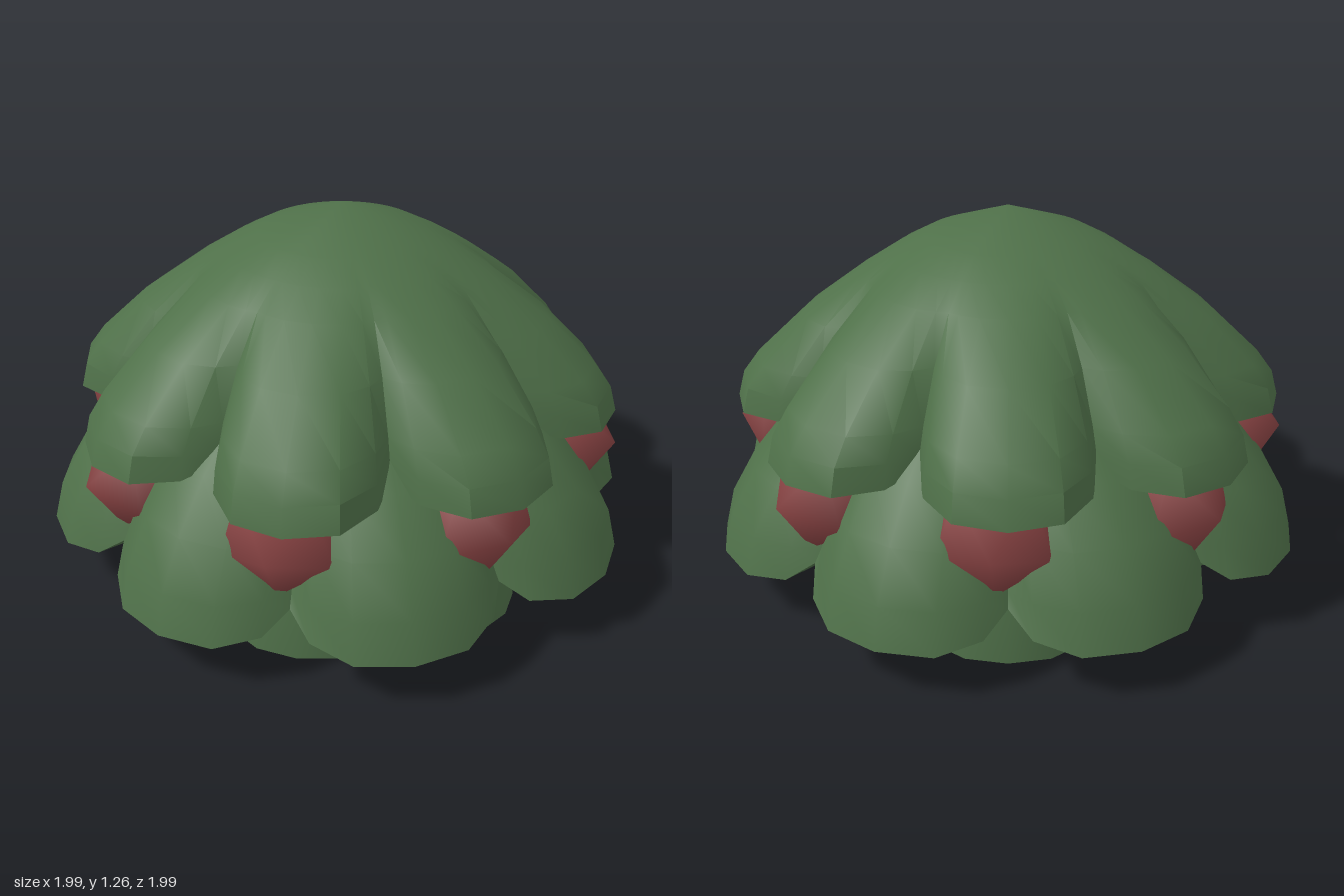
import * as THREE from 'three';
import { toCreasedNormals } from 'three/addons/utils/BufferGeometryUtils.js';

const PETALS = 8;
const STEP = (Math.PI * 2) / PETALS;
const TWIST = THREE.MathUtils.degToRad(1.5);
const ACROSS = [-1, -0.8, -0.45, 0, 0.45, 0.8]; // columns over one petal

const green = new THREE.MeshStandardMaterial({ color: 0x4f7049, side: THREE.DoubleSide });
const red = new THREE.MeshStandardMaterial({ color: 0x8c4545 });

// Scalloped shell. Each row is [height, radius mid-petal, radius at the crease, lift at the crease].
function petalTier(name, rows, angle) {
  const columns = PETALS * ACROSS.length;
  const positions = [];
  const index = [];
  for (const [y, mid, crease, lift = 0] of rows) {
    for (let i = 0; i < columns; i++) {
      const side = ACROSS[i % ACROSS.length];
      const phi = angle + STEP * (Math.floor(i / ACROSS.length) + side / 2);
      const r = mid + (crease - mid) * Math.abs(side) ** 2.5;
      positions.push(r * Math.cos(phi), y + lift * side ** 6, r * Math.sin(phi));
    }
  }
  for (let row = 0; row < rows.length - 1; row++) {
    for (let i = 0; i < columns; i++) {
      const next = (i + 1) % columns;
      const a = row * columns + i, b = row * columns + next;
      const c = a + columns, d = b + columns;
      if (rows[row][1] > 0) index.push(a, b, c); // skip collapsed faces at the apex
      index.push(b, d, c);
    }
  }
  const geometry = new THREE.BufferGeometry();
  geometry.setAttribute('position', new THREE.Float32BufferAttribute(positions, 3));
  geometry.setIndex(index);
  const mesh = new THREE.Mesh(toCreasedNormals(geometry.toNonIndexed(), 0.65), green);
  mesh.name = name;
  return mesh;
}

export function createModel() {
  const bush = new THREE.Group();
  bush.name = 'bush';

  // Dome of upper leaves, closed at the apex, with an underside behind the rim
  bush.add(petalTier('upperLeaves', [
    [1.26, 0, 0],
    [1.165, 0.28, 0.28],
    [1.11, 0.385, 0.38],
    [1.04, 0.5, 0.475],
    [0.9, 0.7, 0.585],
    [0.74, 0.87, 0.67],
    [0.66, 0.93, 0.7],
    [0.57, 0.955, 0.71, 0.04],
    [0.61, 0.64, 0.64],
  ], TWIST));

  // Wider skirt of leaves, half a petal out of step, with underside and inner wall
  bush.add(petalTier('lowerLeaves', [
    [0.74, 0.62, 0.56],
    [0.6, 0.78, 0.67],
    [0.45, 0.91, 0.77],
    [0.3, 1.0, 0.84],
    [0.165, 1.035, 0.87, 0.09],
    [0.25, 0.65, 0.65],
    [0.61, 0.64, 0.64],
  ], TWIST + STEP / 2));

  // Upright scalloped base
  bush.add(petalTier('baseLeaves', [
    [0.25, 0.765, 0.67],
    [0.18, 0.785, 0.69],
    [0, 0.795, 0.7, 0.012],
  ], TWIST));

  // Ring of berries tucked under the upper leaves, each with a corner facing outward
  const berries = new THREE.Group();
  berries.name = 'berries';
  const berryGeometry = new THREE.IcosahedronGeometry(0.21, 0);
  berryGeometry.rotateX(Math.atan(2 / (1 + Math.sqrt(5))));
  berryGeometry.setAttribute('normal', berryGeometry.attributes.position.clone());
  berryGeometry.normalizeNormals();
  for (let i = 0; i < PETALS; i++) {
    const phi = THREE.MathUtils.degToRad(4.5) + i * STEP;
    const berry = new THREE.Mesh(berryGeometry, red);
    berry.name = 'berry';
    berry.position.set(0.755 * Math.cos(phi), 0.47, 0.755 * Math.sin(phi));
    berry.rotation.y = Math.PI / 2 - phi;
    berries.add(berry);
  }
  bush.add(berries);

  return bush;
}
